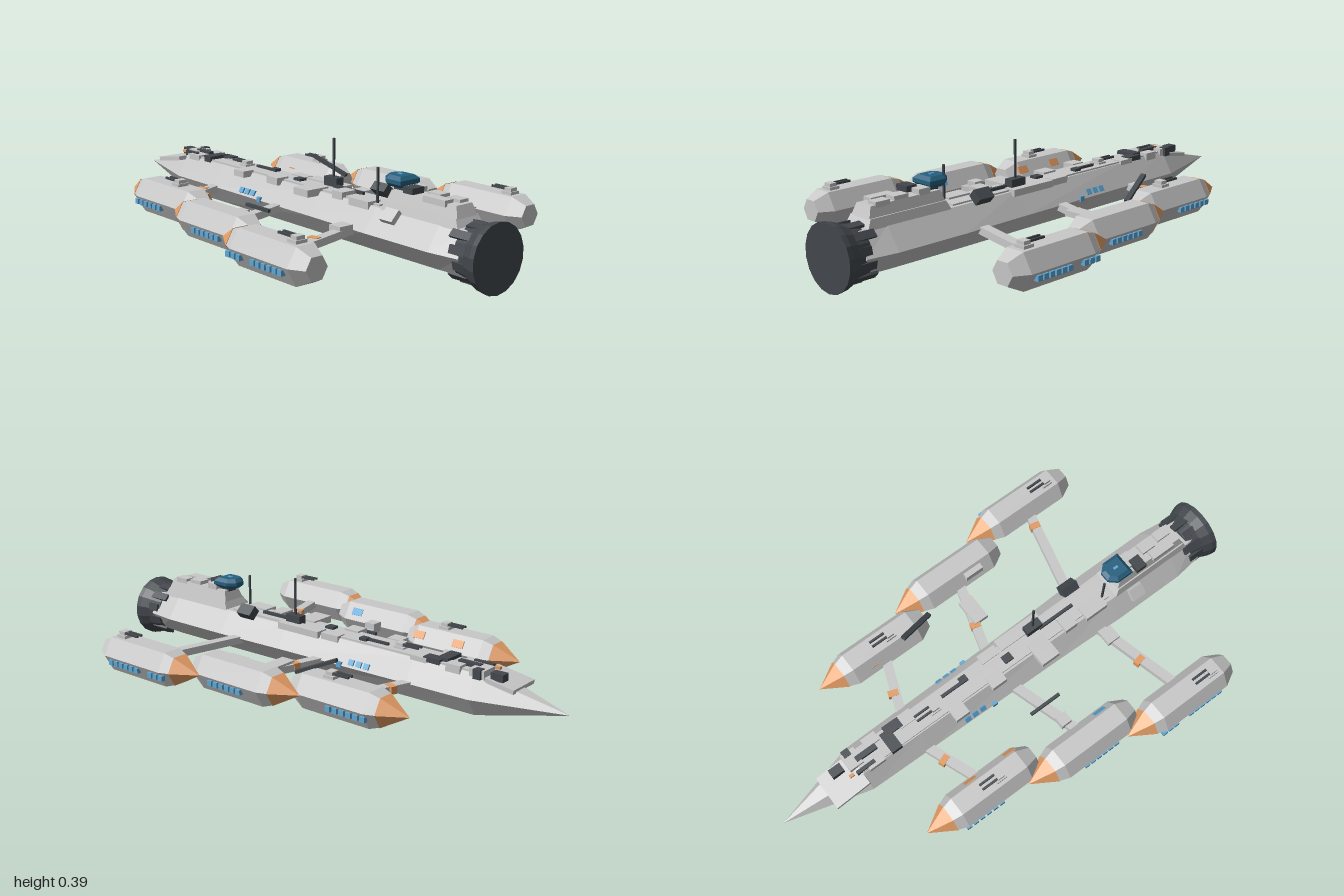
import * as THREE from 'three';

const mat = (name, color) => {
  const m = new THREE.MeshStandardMaterial({ color, flatShading: true });
  m.name = name;
  return m;
};

export function createModel() {
  const grey = mat('hullGrey', 0xc8c8c8);
  const dark = mat('darkMetal', 0x43484d);
  const orange = mat('orangePaint', 0xe39c64);
  const glass = mat('bridgeGlass', 0x26607f);
  const blue = mat('windowBlue', 0x5fa8d6);

  const root = new THREE.Group();
  root.name = 'spaceship';
  const MID = 0.122; // height of the ship's axis

  const add = (parent, name, geo, material, x = 0, y = 0, z = 0) => {
    const m = new THREE.Mesh(geo, material);
    m.name = name;
    m.position.set(x, y, z);
    parent.add(m);
    return m;
  };
  const box = (parent, name, material, [x, y, z], [w, h, d]) =>
    add(parent, name, new THREE.BoxGeometry(w, h, d), material, x, y, z);

  // Turned body along z; profile is [z, radius] pairs
  const turned = (profile, sides) => {
    const g = new THREE.LatheGeometry(profile.map(([z, r]) => new THREE.Vector2(r, z)), sides,
      sides === 6 ? Math.PI / 6 : 0);
    return g.rotateX(Math.PI / 2);
  };

  // Bar between two points
  const beam = (parent, name, material, a, b, w, h) => {
    const A = new THREE.Vector3(...a), B = new THREE.Vector3(...b);
    const m = box(parent, name, material, A.clone().lerp(B, 0.5).toArray(), [w, h, A.distanceTo(B)]);
    m.lookAt(B);
    return m;
  };

  // Six-sided hull, flattened above and below
  const hullGeo = turned([[-1, 0], [-0.66, 0.096], [-0.4, 0.1], [0.2, 0.11], [0.5, 0.119],
    [0.8, 0.119], [0.92, 0.104], [0.92, 0]], 6);
  const p = hullGeo.attributes.position;
  for (let i = 0; i < p.count; i++) p.setY(i, THREE.MathUtils.clamp(p.getY(i), -0.071, 0.083));
  hullGeo.computeVertexNormals();
  add(root, 'hull', hullGeo, grey, 0, MID);

  // Engine bell with ragged front edge
  add(root, 'engineBell', turned([[0.87, 0], [0.89, 0.095], [0.94, 0.104], [0.98, 0.12],
    [1, 0.122], [1, 0]], 18), dark, 0, MID);
  for (let i = 0; i < 12; i++) {
    const a = (i + 0.5) * Math.PI / 6, len = 0.05 + 0.035 * ((i * 5) % 3) / 2;
    const plate = box(root, 'engineCollarPlate', dark,
      [Math.cos(a) * 0.099, MID + Math.sin(a) * 0.099, 0.945 - len / 2], [0.01, 0.03, len]);
    plate.rotation.z = a;
  }

  // Twin-gun turret, barrels towards the nose
  const turret = (parent, x, y, z) => {
    const t = new THREE.Group();
    t.name = 'turret';
    t.position.set(x, y, z);
    parent.add(t);
    box(t, 'turretBase', grey, [0, 0.004, 0], [0.046, 0.012, 0.044]);
    box(t, 'turretHead', grey, [0, 0.015, 0.002], [0.034, 0.016, 0.03]);
    for (const s of [-1, 1]) box(t, 'barrel', dark, [s * 0.01, 0.017, -0.042], [0.008, 0.008, 0.075]);
  };

  // Side pods, mirrored: x, middle z, window positions, turret z
  const podSpecs = [
    { x: 0.51, z: 0.515, windows: [0.105, 0.077, 0.049, 0.021, -0.007, -0.035, -0.11, -0.138, -0.166], gun: 0.1 },
    { x: 0.43, z: 0.105, windows: [0.07, 0.042, 0.014, -0.014, -0.042, -0.07] },
    { x: 0.35, z: -0.305, windows: [-0.004, -0.034, -0.064, -0.094, -0.124, -0.154], gun: 0.035 },
  ];
  for (const side of [1, -1]) {
    for (const s of podSpecs) {
      const pod = new THREE.Group();
      pod.name = side > 0 ? 'leftPod' : 'rightPod';
      pod.position.set(side * s.x, MID, s.z);
      root.add(pod);
      add(pod, 'podBody', turned([[-0.195, 0], [-0.195, 0.06], [-0.155, 0.075], [0.14, 0.075],
        [0.195, 0.045], [0.195, 0]], 6), grey);
      add(pod, 'podNose', turned([[-0.295, 0], [-0.195, 0.062], [-0.195, 0]], 6), orange);
      for (const z of s.windows) box(pod, 'podWindow', blue, [side * 0.0685, -0.02, z], [0.018, 0.02, 0.02]);
      if (s.gun) turret(pod, 0, 0.066, s.gun);
      // Strut from hull to pod
      beam(root, 'strut', grey, [side * 0.04, 0.115, s.z - 0.117], [side * s.x, 0.115, s.z], 0.038, 0.028);
    }
    // Hull side windows
    for (const z of [-0.15, -0.185, -0.22]) {
      const w = box(root, 'hullWindow', blue, [side * 0.094, 0.14, z], [0.009, 0.022, 0.024]);
      w.rotation.z = side * Math.PI / 6;
    }
    box(root, 'hullLamp', blue, [side * 0.102, 0.125, -0.1], [0.015, 0.02, 0.02]);
  }

  // Painted bands on the struts
  for (const [x, z, r] of [[-0.3, 0.452, 0.23], [0.4, 0.485, -0.23], [0.2, 0.035, -0.3],
    [-0.165, -0.385, 0.35], [0.165, -0.385, -0.35]]) {
    const b = box(root, 'strutBand', orange, [x, 0.117, z], [0.025, 0.029, 0.041]);
    b.rotation.y = r;
  }
  // Pod and strut fittings
  box(root, 'strutBox', grey, [0.255, 0.127, 0.065], [0.11, 0.022, 0.06]);
  box(root, 'strutBox', grey, [-0.315, 0.135, 0.065], [0.045, 0.034, 0.045]);
  box(root, 'strutBox', grey, [-0.152, 0.132, 0.422], [0.06, 0.022, 0.055]);
  box(root, 'podBox', grey, [0.385, 0.16, 0.155], [0.045, 0.03, 0.08]);
  beam(root, 'strutRod', dark, [-0.225, 0.142, -0.02], [-0.225, 0.142, 0.115], 0.012, 0.012);
  beam(root, 'podBoom', dark, [0.29, 0.225, -0.24], [0.335, 0.16, -0.09], 0.02, 0.012);
  const patch = (material, x, z, d) => {
    const m = box(root, 'podPatch', material, [x, 0.155, z], [0.03, 0.008, d]);
    m.rotation.z = -Math.PI / 3;
  };
  patch(orange, -0.295, -0.18, 0.05);
  patch(orange, -0.295, -0.36, 0.05);
  patch(blue, -0.375, 0.19, 0.05);
  box(root, 'podPatch', orange, [0.295, 0.14, -0.38], [0.012, 0.02, 0.03]);

  // Deck plating: x, z, width, depth, top height
  box(root, 'deckSpine', grey, [0, 0.205, -0.08], [0.09, 0.012, 1.16]);
  const nosePlate = box(root, 'nosePlate', grey, [-0.02, 0.183, -0.735], [0.14, 0.016, 0.15]);
  nosePlate.rotation.x = -0.16;
  const plates = [[-0.07, -0.24, 0.05, 0.06, 0.215], [-0.05, -0.055, 0.055, 0.065, 0.218],
    [-0.065, 0.16, 0.1, 0.08, 0.217], [-0.03, 0.3, 0.065, 0.055, 0.225], [0.05, 0.13, 0.05, 0.2, 0.216],
    [0.02, -0.665, 0.07, 0.06, 0.222], [-0.03, -0.6, 0.05, 0.07, 0.217], [0.04, -0.57, 0.04, 0.06, 0.22],
    [0.045, -0.02, 0.04, 0.08, 0.215], [-0.04, 0.42, 0.06, 0.1, 0.218], [0.03, -0.42, 0.05, 0.07, 0.215]];
  for (const [x, z, w, d, top] of plates) box(root, 'deckPlate', grey, [x, (top + 0.19) / 2, z], [w, top - 0.19, d]);
  const units = [[0.022, -0.155, 0.027, 0.032, 0.222], [-0.01, 0.03, 0.032, 0.038, 0.22],
    [0.02, -0.735, 0.035, 0.05, 0.218], [-0.01, -0.51, 0.085, 0.045, 0.224], [0.032, -0.475, 0.04, 0.07, 0.22],
    [0.008, -0.61, 0.022, 0.09, 0.226], [-0.035, -0.64, 0.014, 0.08, 0.222], [0.05, -0.67, 0.03, 0.03, 0.225],
    [0.028, 0.18, 0.035, 0.07, 0.245], [0.012, 0.28, 0.012, 0.16, 0.222], [0.015, -0.21, 0.012, 0.1, 0.22]];
  for (const [x, z, w, d, top] of units) box(root, 'deckUnit', dark, [x, (top + 0.19) / 2, z], [w, top - 0.19, d]);
  const sideUnit = box(root, 'sideUnit', dark, [0.075, 0.226, 0.39], [0.045, 0.035, 0.07]);
  sideUnit.rotation.z = -0.75;
  const sidePlate = box(root, 'sidePlate', grey, [-0.09, 0.198, 0.6], [0.05, 0.02, 0.06]);
  sidePlate.rotation.z = 0.8;
  box(root, 'deckMark', orange, [-0.03, 0.214, -0.7], [0.012, 0.01, 0.02]);
  turret(root, 0, 0.208, -0.31);

  // Bridge tower: tapered block with stepped roof boxes
  const tower = (name, w, h, d, top, y, z) => {
    const g = new THREE.BoxGeometry(w, h, d), q = g.attributes.position;
    for (let i = 0; i < q.count; i++) if (q.getY(i) > 0) q.setXYZ(i, q.getX(i) * top, q.getY(i), q.getZ(i) * 0.9);
    return add(root, name, g, grey, 0, y, z);
  };
  tower('bridgeBase', 0.125, 0.035, 0.36, 0.85, 0.217, 0.7);
  tower('bridgeTower', 0.1, 0.045, 0.33, 0.75, 0.25, 0.7);
  for (const [x, y, z, w, d] of [[-0.03, 0.273, 0.76, 0.04, 0.1], [0.015, 0.276, 0.72, 0.045, 0.06],
    [0.02, 0.272, 0.8, 0.04, 0.06], [0.01, 0.28, 0.62, 0.06, 0.05]])
    box(root, 'bridgeRoofBox', grey, [x, y, z], [w, 0.022, d]);
  box(root, 'bridgeUnit', dark, [-0.027, 0.288, 0.645], [0.055, 0.022, 0.045]);
  box(root, 'bridgeNeck', dark, [0, 0.278, 0.57], [0.04, 0.022, 0.05]);

  // Glass bridge, pointed towards the nose
  const plan = new THREE.Shape([[-0.047, -0.045], [0.047, -0.045], [0.047, 0.025], [0.02, 0.055],
    [-0.02, 0.055], [-0.047, 0.025]].map(([x, y]) => new THREE.Vector2(x, y)));
  const glassGeo = new THREE.ExtrudeGeometry(plan, { depth: 0.014, bevelEnabled: true,
    bevelSize: 0.014, bevelOffset: -0.014, bevelThickness: 0.013, bevelSegments: 1 });
  glassGeo.rotateX(-Math.PI / 2);
  add(root, 'glassBridge', glassGeo, glass, 0, 0.296, 0.557);
  box(root, 'bridgeLamp', blue, [0, 0.322, 0.555], [0.01, 0.008, 0.02]);

  // Masts
  for (const [x, z, top] of [[0.028, 0.18, 0.39], [-0.03, 0.475, 0.337]])
    box(root, 'mast', dark, [x, (top + 0.2) / 2, z], [0.007, top - 0.2, 0.007]);

  return root;
}
